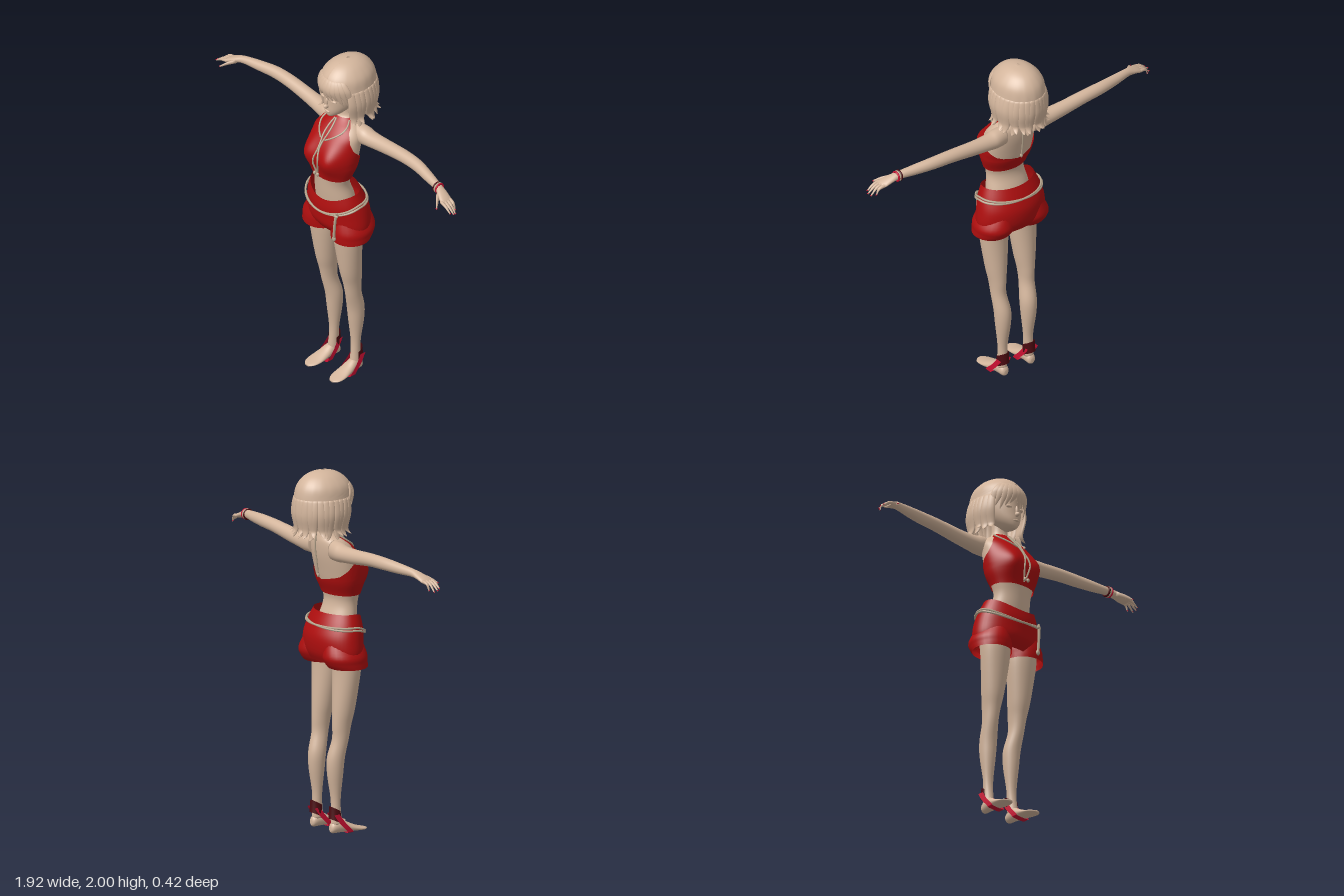
import * as THREE from 'three';

const V = (x, y, z) => new THREE.Vector3(x, y, z);
const TAU = Math.PI * 2;
const material = (name, color, side = THREE.FrontSide) => {
  const m = new THREE.MeshStandardMaterial({ color, side });
  m.name = name;
  return m;
};

// Catmull-Rom refinement of rows of numbers
function smooth(rows, k = 5) {
  const out = [], row = i => rows[Math.max(0, Math.min(rows.length - 1, i))];
  for (let i = 0; i < rows.length - 1; i++) for (let j = 0; j < k; j++) {
    const t = j / k;
    out.push(rows[i].map((b, c) => {
      const a = row(i - 1)[c], d = row(i + 1)[c], e = row(i + 2)[c];
      return b + 0.5 * t * (d - a + t * (2 * a - 5 * b + 4 * d - e + t * (3 * (b - d) + e - a)));
    }));
  }
  out.push(rows[rows.length - 1]);
  return out;
}

// Linear lookup in rows sorted by their first number
function at(rows, y) {
  let i = 0;
  while (i < rows.length - 2 && (y - rows[i + 1][0]) * (rows[1][0] - rows[0][0]) > 0) i++;
  const a = rows[i], b = rows[i + 1], t = THREE.MathUtils.clamp((y - a[0]) / (b[0] - a[0]), 0, 1);
  return a.map((v, c) => v + (b[c] - v) * t);
}

// Ellipse of points around c; angle 0 points along v
const ring = (c, u, v, n = 28) => Array.from({ length: n }, (_, i) =>
  c.clone().addScaledVector(u, Math.sin(i / n * TAU)).addScaledVector(v, Math.cos(i / n * TAU)));

// Skin over rings of points; closed rings wrap, caps fill the ends
function skin(rings, closed = true, cap = true) {
  const n = rings[0].length, pos = [], idx = [], m = closed ? n : n - 1;
  rings.forEach(r => r.forEach(p => pos.push(p.x, p.y, p.z)));
  for (let i = 0; i < rings.length - 1; i++) for (let j = 0; j < m; j++) {
    const a = i * n + j, b = i * n + (j + 1) % n;
    idx.push(a, b, a + n, b, b + n, a + n);
  }
  if (closed && cap) [0, rings.length - 1].forEach(e => {
    const c = rings[e].reduce((s, p) => s.add(p), V(0, 0, 0)).divideScalar(n), k = pos.length / 3;
    pos.push(c.x, c.y, c.z);
    for (let j = 0; j < n; j++) {
      const a = e * n + j, b = e * n + (j + 1) % n;
      if (e) idx.push(a, b, k); else idx.push(b, a, k);
    }
  });
  // Turn the faces outward
  let vol = 0;
  const P = i => V(pos[3 * i], pos[3 * i + 1], pos[3 * i + 2]);
  for (let i = 0; i < idx.length; i += 3) vol += P(idx[i]).dot(P(idx[i + 1]).cross(P(idx[i + 2])));
  if (vol < 0) idx.reverse();
  const g = new THREE.BufferGeometry();
  g.setAttribute('position', new THREE.Float32BufferAttribute(pos, 3));
  g.setIndex(idx);
  g.computeVertexNormals();
  return g;
}
// Upright loft from rows of y, cx, cz, rx, rz
const upright = (rows, s = 1, cap = true) => skin(smooth(rows).map(([y, x, z, a, b]) =>
  ring(V(s * x, y, z), V(a, 0, 0), V(0, 0, b))), true, cap);
const tube = (pts, r, closed = false) =>
  new THREE.TubeGeometry(new THREE.CatmullRomCurve3(pts, closed), closed ? 80 : 20, r, 6, closed);

// Torso rows: y, rx, front z, back z
const TORSO = smooth([[1.0, .13, .11, -.05], [1.15, .13, .135, -.04], [1.25, .114, .148, -.01],
  [1.31, .123, .152, -.012], [1.38, .145, .15, -.04], [1.45, .152, .142, -.058], [1.52, .151, .125, -.074],
  [1.57, .146, .1, -.08], [1.61, .118, .065, -.08], [1.64, .07, .033, -.073], [1.67, .048, .018, -.065],
  [1.74, .045, .02, -.065]], 6);
function torsoPoint([y, rx, zf, zb], t, off = 0) {
  const p = V((rx + off) * Math.sin(t), y, (zf + zb) / 2 + ((zf - zb) / 2 + off) * Math.cos(t));
  const f = Math.sqrt(Math.max(0, Math.cos(t)));
  for (const s of [-1, 1]) {
    const b = f * Math.exp(-((p.x - s * .08) ** 2) / .0055 - ((y - 1.44) ** 2) / .0075);
    p.z += .056 * b;
    p.x += s * .012 * b;
  }
  return p;
}

// Shorts rows: y, rx, front z, back z; the front of the waistband dips
const SHORTS = smooth([[1.215, .16, .155, -.06], [1.15, .187, .162, -.09], [1.08, .205, .16, -.113],
  [1.0, .213, .152, -.108], [.95, .19, .12, -.085]]);
const shortsPoint = ([y, rx, zf, zb], t, off = 0) => V((rx + off) * Math.sin(t),
  y - .045 * Math.max(0, Math.cos(t)) ** 2 * Math.max(0, (y - 1) / .2), (zf + zb) / 2 + ((zf - zb) / 2 + off) * Math.cos(t));

export function createModel() {
  const root = new THREE.Group();
  root.name = 'figure';
  const body = material('skin and hair', 0xd3b59c), sheet = material('hair sheet', 0xd3b59c, THREE.DoubleSide);
  const red = material('red cloth', 0xae0e0e, THREE.DoubleSide), trim = material('cord', 0xb9a78f);
  const crimson = material('crimson strap', 0xc40f30, THREE.DoubleSide);
  const maroon = material('maroon leather', 0x4a0a10, THREE.DoubleSide);
  const add = (name, geo, mat) => {
    const m = new THREE.Mesh(geo, mat);
    m.name = name;
    root.add(m);
    return m;
  };
  const ball = (name, mat, x, y, z, a, b, c) => {
    const m = add(name, new THREE.SphereGeometry(1, 14, 10), mat);
    m.position.set(x, y, z);
    m.scale.set(a, b, c);
  };
  const angles = (n, a0, a1) => Array.from({ length: n }, (_, i) => a0 + (a1 - a0) * i / (n - 1));
  const around = angles(49, 0, TAU).slice(0, 48);

  // Torso and halter top
  add('torso', skin(TORSO.map(r => around.map(t => torsoPoint(r, t)))), body);
  const opening = [[1.3, 3.1416], [1.395, 3.1416], [1.42, 2.3], [1.46, 1.8], [1.5, 1.4], [1.55, 1.1], [1.6, .95], [1.65, 1.25]];
  const topRows = angles(34, 1.31, 1.652).map(y => at(TORSO, y));
  add('halterTop', skin(topRows.map(r => {
    const a = at(opening, r[0])[1];
    return angles(49, -a, a).map(t => torsoPoint(r, t, .008));
  }), false), red);

  // Chest and back cords
  const onChest = (y, t) => torsoPoint(at(TORSO, y), t, .014);
  for (const s of [-1, 1]) {
    add('chestCord', tube(angles(9, 1.645, 1.34 + s * .012).map((y, i) => onChest(y, s * (.06 + .04 * Math.sin(i * 1.3)))), .005), trim);
    add('neckCord', tube(angles(6, 0, 1).map(k => onChest(1.645 - .1 * k, s * (1.1 - k))), .005), trim);
    ball('cordEnd', trim, s * .012, 1.34, .185, .009, .012, .009);
  }
  add('backCord', tube([V(0, 1.68, -.085), V(.004, 1.58, -.092), V(0, 1.5, -.085), V(0, 1.42, -.075)], .0045), trim);
  ball('backCordEnd', trim, 0, 1.42, -.075, .008, .012, .008);

  // Shorts
  add('shorts', skin(SHORTS.map(r => around.map(t => shortsPoint(r, t))), true, false), red);
  for (const s of [-1, 1]) add('shortsLeg', upright([[1.06, .1, .02, .08, .11], [.99, .112, .02, .109, .126],
    [.95, .114, .028, .11, .12], [.922, .115, .038, .109, .108]], s, false), red);

  // Belt cord with a hanging end
  for (const d of [0, .014]) add('belt', tube(around.map(t => {
    const y = 1.15 - .06 * Math.max(0, Math.cos(t)) ** 1.5 + d * Math.sin(t);
    const p = shortsPoint(at(SHORTS, y), t, .009);
    p.y = y;
    return p;
  }), .006, true), trim);
  add('beltEnd', tube([V(.125, 1.125, .15), V(.12, 1.06, .157), V(.116, 1, .158), V(.113, .95, .157)], .008), trim);
  ball('beltKnot', trim, .122, 1.105, .152, .016, .012, .01);
  ball('beltTassel', trim, .113, .955, .157, .012, .017, .009);

  for (const s of [-1, 1]) {
    // Arm and hand
    add('arm', skin(smooth([[.09, 1.57, -.03, .055, .045], [.15, 1.57, -.034, .053, .05], [.2, 1.569, -.036, .045, .046],
      [.3, 1.577, -.04, .041, .039], [.45, 1.592, -.041, .036, .036], [.57, 1.595, -.036, .034, .033],
      [.68, 1.59, -.018, .029, .029], [.78, 1.584, .002, .022, .023], [.83, 1.572, .016, .018, .031],
      [.87, 1.556, .027, .015, .036], [.89, 1.547, .031, .009, .03]]).map(([x, y, z, a, b]) =>
      ring(V(s * x, y, z), V(0, a, 0), V(0, 0, b)))), body);
    const finger = (a, b, c, r) => {
      const curve = new THREE.CatmullRomCurve3([a, b, c]);
      add('finger', skin(angles(9, 0, 1).map(t => ring(curve.getPoint(t), V(0, r * (1 - .6 * t * t), 0),
        V(0, 0, r * (1 - .6 * t * t)), 10))), body);
      ball('fingernail', crimson, c.x, c.y + .002, c.z, .006, .003, .004);
    };
    [[-.0, .925, 1.513], [.018, .948, 1.508], [.036, .954, 1.515], [.053, .945, 1.522]].forEach(([z, x, y]) =>
      finger(V(s * .865, 1.557, z + .002), V(s * .91, 1.546, z + .006), V(s * x, y, z + .008), .0095));
    finger(V(s * .815, 1.571, .034), V(s * .847, 1.556, .066), V(s * .876, 1.535, .098), .0125);

    // Leg and foot
    add('leg', upright([[1.0, .1, .04, .085, .085], [.9, .097, .043, .084, .075], [.7, .097, .025, .061, .065],
      [.6, .097, .012, .046, .055], [.52, .096, .003, .041, .048], [.42, .088, -.02, .046, .05],
      [.33, .087, -.025, .042, .045], [.2, .087, -.022, .029, .028], [.12, .088, -.02, .026, .028], [.05, .09, -.016, .028, .034]], s), body);
    add('foot', skin(smooth([[-.058, .09, .026, .012, .014], [-.045, .09, .031, .025, .029], [0, .092, .04, .032, .038],
      [.05, .095, .027, .039, .026], [.1, .098, .016, .043, .015], [.14, .1, .01, .036, .009],
      [.164, .1, .007, .015, .006]]).map(([z, x, y, a, b]) => ring(V(s * x, y, z), V(a, 0, 0), V(0, b, 0)))), body);

    // Sandal: side strap passing under the sole, and a heel collar
    const path = [[-.034, .11, -.04], [-.041, .06, -.005], [-.045, .018, .035], [-.036, .001, .045],
      [.036, .001, .045], [.045, .018, .035], [.041, .06, -.005], [.034, .11, -.04]];
    add('sandalStrap', skin([-.018, .018].map(w => smooth(path).map(([x, y, z]) => V(s * .092 + x, y, z + w))), false), crimson);
    add('heelCollar', skin([[.085, .037, .042], [.115, .034, .039], [.152, .034, .036]].map(([y, a, b]) =>
      angles(17, 1.3, TAU - 1.3).map(t => V(s * .089 + a * Math.sin(t), y - .02 * (1 + Math.cos(t)), -.022 + b * Math.cos(t)))), false), maroon);

    // Ears and facial relief
    ball('ear', body, s * .103, 1.775, -.025, .014, .034, .02);
    ball('eyelid', body, s * .04, 1.792, .094, .021, .009, .011);
  }
  // Bracelet on the left wrist
  [[.773, maroon], [.783, trim], [.793, crimson]].forEach(([x, m]) => {
    const b = add('bracelet', new THREE.TorusGeometry(.026, .0055, 8, 24), m);
    b.position.set(x, 1.582, .003);
    b.rotation.y = Math.PI / 2;
  });

  // Head and face
  add('head', upright([[1.677, 0, .063, .012, .028], [1.69, 0, .05, .036, .052], [1.72, 0, .03, .064, .078],
    [1.76, 0, .004, .087, .104], [1.81, 0, -.015, .1, .124], [1.87, 0, -.03, .105, .14],
    [1.93, 0, -.035, .085, .115], [1.965, 0, -.04, .04, .06]]), body);
  ball('nose', body, 0, 1.752, .111, .012, .014, .019);
  ball('noseBridge', body, 0, 1.775, .107, .008, .028, .011);
  ball('lips', body, 0, 1.718, .103, .02, .008, .011);

  // Hair cap, open over the face
  const HAIR = smooth([[1.999, -.045, .008, .01], [1.99, -.045, .05, .065], [1.965, -.045, .09, .114], [1.92, -.043, .125, .152],
    [1.86, -.043, .138, .166], [1.8, -.046, .144, .162], [1.74, -.05, .14, .152], [1.69, -.052, .13, .138]]);
  const hairline = [[1.69, 1.5], [1.74, 1.4], [1.8, 1.15], [1.85, .75], [1.89, .02], [2, 0]];
  const hairPoint = (y, t, off = 0) => {
    const [, cz, a, b] = at(HAIR, y);
    return V((a + off) * Math.sin(t), y, cz + (b + off) * Math.cos(t));
  };
  add('hairCap', skin(HAIR.map(([y]) => {
    const a = at(hairline, y)[1];
    return angles(49, a, TAU - a).map(t => hairPoint(y, t, .003 * Math.sin(t * 17) * (2 - y) / .3));
  }), false), sheet);

  // Flat tapering locks: rows of y, angle, offset
  const lock = (name, rows, w, d) => {
    const sm = smooth(rows, 5);
    add(name, skin(sm.map(([y, t, off], i) => {
      const k = Math.sin(Math.PI * Math.min(.98, .22 + .76 * i / (sm.length - 1)));
      return ring(hairPoint(y, t, off), V(Math.cos(t), 0, -Math.sin(t)).multiplyScalar(w * k),
        V(Math.sin(t), 0, Math.cos(t)).multiplyScalar(d * k), 10);
    })), body);
  };
  for (let i = 0; i < 23; i++) {
    const t = 1.05 + i * (TAU - 2.1) / 22, v = Math.sin(i * 2.4), low = at(HAIR, 1.69)[2] && .012 * v;
    lock('hairLock', [[1.86, t, -.004], [1.78, t + .04 * v, .004], [1.715, t + .08 * v, .003],
      [1.672 + low, t + .14 * v, .012], [1.652 + low, t + .2 * v, .03 + .008 * v]], .027, .011);
  }
  // Fringe swept from the parting
  for (let i = 0; i < 11; i++) {
    const t = -.95 + i * .19, v = Math.sin(i * 2.1), sweep = .12 * Math.sign(t + .05);
    lock('fringeLock', [[1.925, t * .75, -.004], [1.885, t * .9, .002], [1.85, t, .001],
      [1.805 - .035 * Math.abs(t) + .014 * v, t + sweep, -.008]], .024, .008);
  }
  return root;
}
